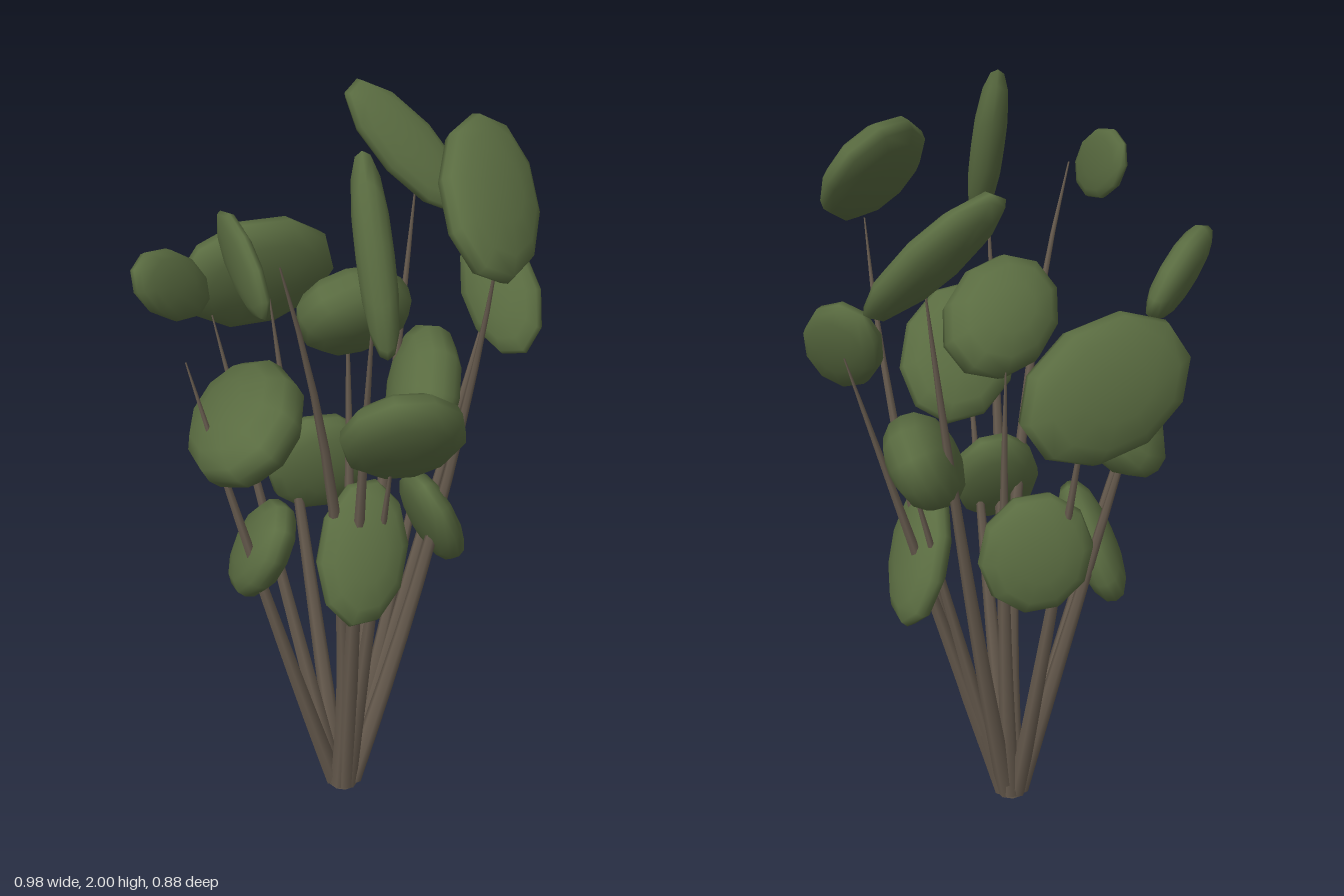
import * as THREE from 'three';
import { mergeVertices } from 'three/addons/utils/BufferGeometryUtils.js';

const leafGreen = new THREE.MeshStandardMaterial({ color: 0x5a6c41 });
leafGreen.name = 'leaf green';
const stemBrown = new THREE.MeshStandardMaterial({ color: 0x695d50 });
stemBrown.name = 'stem brown';

const UP = new THREE.Vector3(0, 1, 0);

// Pad: a round disc with a blunt rim, poles on y
function makePad() {
  const g = new THREE.SphereGeometry(1, 10, 8);
  g.deleteAttribute('uv');
  g.deleteAttribute('normal');
  const p = g.attributes.position, v = new THREE.Vector3();
  for (let i = 0; i < p.count; i++) {
    v.fromBufferAttribute(p, i);
    const size = Math.pow(Math.hypot(v.x, v.z), 2.4) + Math.pow(Math.abs(v.y), 2.4);
    v.multiplyScalar(Math.pow(size, -1 / 2.4));
    p.setXYZ(i, v.x, v.y, v.z);
  }
  return mergeVertices(g, 1e-4);
}

// Leaf: a pad filling a box, leaning in the xy, xz and yz planes (-1..1)
function makeLeaf([x0, x1, y0, y1, z0, z1], [xy, xz, yz]) {
  const hx = (x1 - x0) / 2, hy = (y1 - y0) / 2, hz = (z1 - z0) / 2;
  const a = Math.sqrt(1 - xy * xy);
  const b = (yz - xy * xz) / a;
  const c = Math.sqrt(Math.max(0.03, 1 - xz * xz - b * b));
  const lean = new THREE.Matrix3().set(
    hx, 0, 0,
    xy * hy, a * hy, 0,
    xz * hz, b * hz, c * hz);
  // Turn the pad's poles to the direction in which the leaf is thinnest
  const squash = lean.clone().transpose().multiply(lean).invert();
  const thin = new THREE.Vector3(0.5, 0.6, 0.4);
  for (let i = 0; i < 30; i++) thin.applyMatrix3(squash).normalize();
  const turn = new THREE.Quaternion().setFromUnitVectors(UP, thin);
  const g = makePad().applyQuaternion(turn);
  g.applyMatrix4(new THREE.Matrix4().setFromMatrix3(lean));
  g.translate((x0 + x1) / 2, (y0 + y1) / 2, (z0 + z1) / 2);
  g.computeVertexNormals();
  const mesh = new THREE.Mesh(g, leafGreen);
  mesh.name = 'leaf';
  return mesh;
}

// Stem: a curved tube narrowing towards its tip
function makeStem(tip, bend) {
  const end = new THREE.Vector3(...tip);
  const out = new THREE.Vector3(end.x, 0, end.z).normalize();
  const base = out.clone().multiplyScalar(0.027).setY(0.015);
  const mid = bend ? new THREE.Vector3(...bend) : base.clone().lerp(end, 0.5);
  const curve = new THREE.QuadraticBezierCurve3(base, mid, end);
  const rows = 10, sides = 6;
  const g = new THREE.TubeGeometry(curve, rows, 1, sides, false);
  const p = g.attributes.position, v = new THREE.Vector3();
  for (let i = 0; i < p.count; i++) {
    const t = Math.floor(i / (sides + 1)) / rows;
    const centre = curve.getPointAt(t);
    const radius = 0.024 * Math.pow(1 - t, 0.8) + 0.002;
    v.fromBufferAttribute(p, i).sub(centre).multiplyScalar(radius).add(centre);
    p.setXYZ(i, v.x, v.y, v.z);
  }
  const mesh = new THREE.Mesh(g, stemBrown);
  mesh.name = 'stem';
  return mesh;
}

// Leaf boxes [x0, x1, y0, y1, z0, z1] and leans [xy, xz, yz], top tier to bottom tier
const LEAVES = [
  [[-0.03, 0.06, 1.58, 2.0, 0.26, 0.435], [-0.4, 0.3, -0.78]],
  [[0.18, 0.43, 1.67, 1.97, -0.03, 0.31], [-0.25, -0.4, -0.64]],
  [[0.05, 0.355, 1.62, 1.94, -0.365, -0.225], [-0.8, 0.38, -0.7]],
  [[-0.3, -0.21, 1.66, 1.86, 0.16, 0.395], [-0.5, 0.82, -0.4]],
  [[-0.49, -0.31, 1.49, 1.69, -0.1, 0.09], [-0.57, -0.78, 0.35]],
  [[-0.38, 0.035, 1.3, 1.62, -0.44, -0.205], [-0.05, -0.68, 0.4]],
  [[-0.12, 0.17, 1.37, 1.62, -0.125, 0.125], [-0.05, -0.35, 0.48]],
  [[0.31, 0.49, 1.345, 1.62, -0.19, 0.03], [-0.1, 0.58, -0.68]],
  [[-0.05, 0.26, 1.13, 1.44, 0.125, 0.36], [-0.1, -0.2, 0.76]],
  [[-0.38, -0.105, 1.09, 1.345, -0.22, 0.24], [0.55, 0.1, 0.1]],
  [[0.13, 0.32, 1.05, 1.33, -0.31, 0.04], [0.4, -0.2, -0.38]],
  [[-0.18, 0.11, 0.8, 1.11, -0.275, -0.14], [0, -0.2, 0.4]],
  [[-0.1, 0.135, 0.77, 1.1, 0.095, 0.3], [0.1, -0.3, -0.74]],
  [[-0.295, -0.13, 0.69, 0.985, -0.135, 0.14], [0.64, 0.2, 0.3]],
  [[0.16, 0.32, 0.7, 1.03, -0.18, 0.1], [-0.62, 0.05, 0.45]],
];

// Stem tips, some with a bend point
const STEMS = [
  [[-0.18, 1.76, 0.3], [0.02, 1.0, 0.17]],
  [[0.33, 1.7, 0.15], [0.3, 0.95, -0.03]],
  [[0.22, 1.7, -0.27], [0.14, 0.85, -0.21]],
  [[0.4, 1.48, -0.14]],
  [[-0.38, 1.42, 0.055], [-0.22, 0.75, 0.11]],
  [[-0.3, 1.42, -0.18]],
  [[-0.15, 1.42, -0.25], [-0.08, 0.75, -0.19]],
  [[0.02, 1.66, 0.31], [0.0, 0.8, 0.17]],
  [[0.08, 1.25, 0.25], [0.06, 0.75, 0.12]],
  [[0.03, 1.42, -0.14], [0.04, 0.7, -0.1]],
  [[0.27, 1.2, -0.14]],
];

export function createModel() {
  const model = new THREE.Group();
  model.name = 'leafyStems';
  const leaves = new THREE.Group();
  leaves.name = 'leaves';
  for (const [box, lean] of LEAVES) leaves.add(makeLeaf(box, lean));
  const stems = new THREE.Group();
  stems.name = 'stems';
  for (const [tip, bend] of STEMS) stems.add(makeStem(tip, bend));
  // Bound foot where the stems meet
  const foot = new THREE.Mesh(new THREE.CylinderGeometry(0.046, 0.042, 0.08, 10), stemBrown);
  foot.name = 'foot';
  foot.position.y = 0.04;
  stems.add(foot);
  model.add(stems, leaves);
  return model;
}
